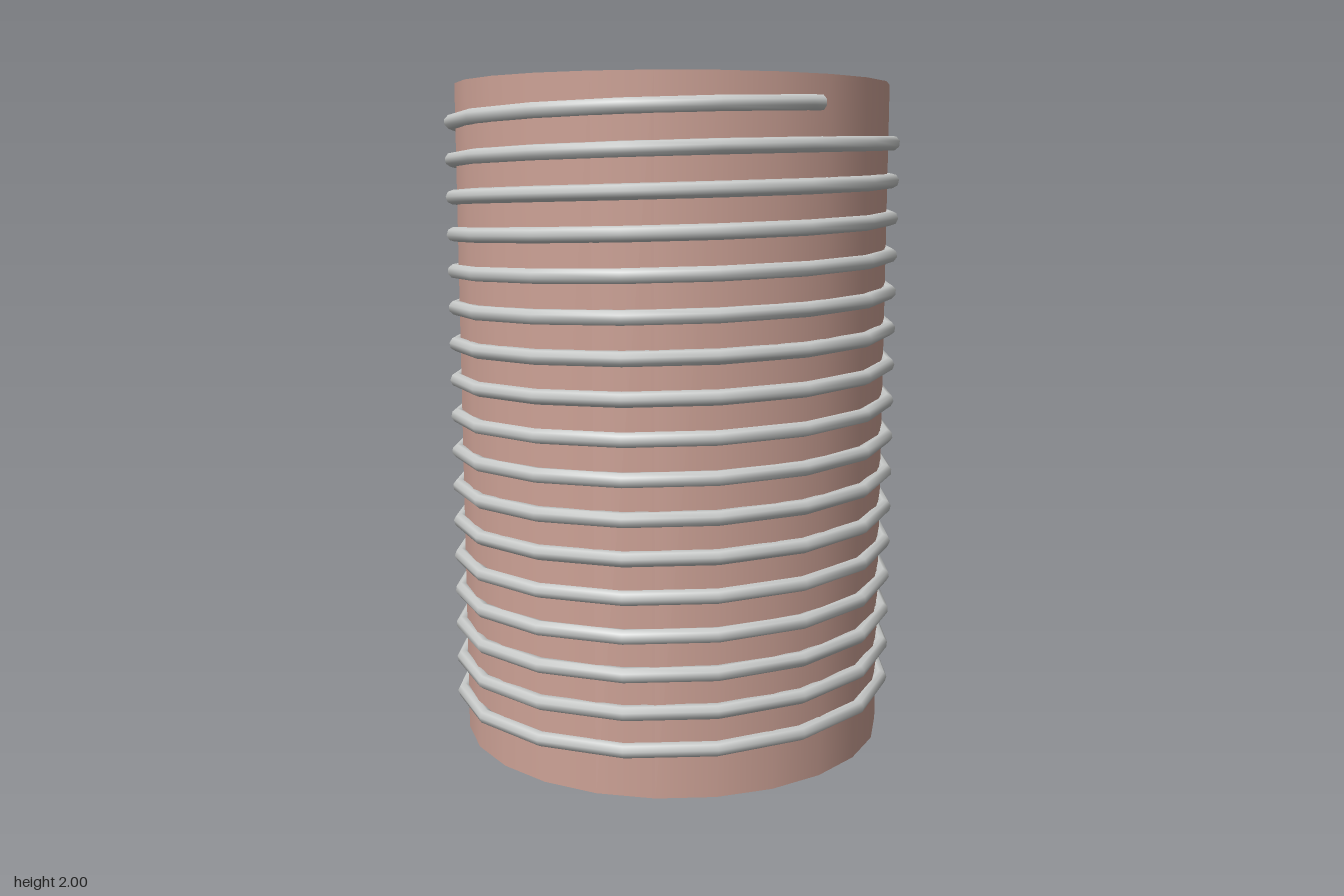
import * as THREE from 'three';

const STEP = Math.PI / 8;      // sixteen straight runs per turn
const PITCH = 0.1104;          // rise per turn
const RUNS = 268;
const END = 16.7 * Math.PI * 2;

// Rising helix that starts at the back and winds past -x, the front and +x
class HelixCurve extends THREE.Curve {
  getPoint(u, target = new THREE.Vector3()) {
    const a = Math.min(u * RUNS * STEP, END);
    const r = u >= 1 ? 0.655 : 0.668;   // the tail sinks into the core
    return target.set(-r * Math.sin(a), 0.08 + PITCH * a / (Math.PI * 2), -r * Math.cos(a));
  }
  getPointAt(u, target) { return this.getPoint(u, target); }
  getTangentAt(u, target = new THREE.Vector3()) {
    const a = Math.min(u * RUNS * STEP, END);
    return target.set(-0.668 * Math.cos(a), PITCH / (Math.PI * 2), 0.668 * Math.sin(a)).normalize();
  }
}

export function createModel() {
  const group = new THREE.Group();
  const clay = new THREE.MeshStandardMaterial({ name: 'dusty pink', color: 0xcda296 });
  const wire = new THREE.MeshStandardMaterial({ name: 'light grey', color: 0xc8cac9, side: THREE.DoubleSide });

  // Solid core
  const core = new THREE.Mesh(new THREE.CylinderGeometry(0.656, 0.656, 2, 24), clay);
  core.name = 'core';
  core.position.y = 1;

  // Wire wound round the core, half sunk into it
  const winding = new THREE.Mesh(new THREE.TubeGeometry(new HelixCurve(), RUNS, 0.022, 8), wire);
  winding.name = 'winding';

  group.add(core, winding);
  return group;
}
